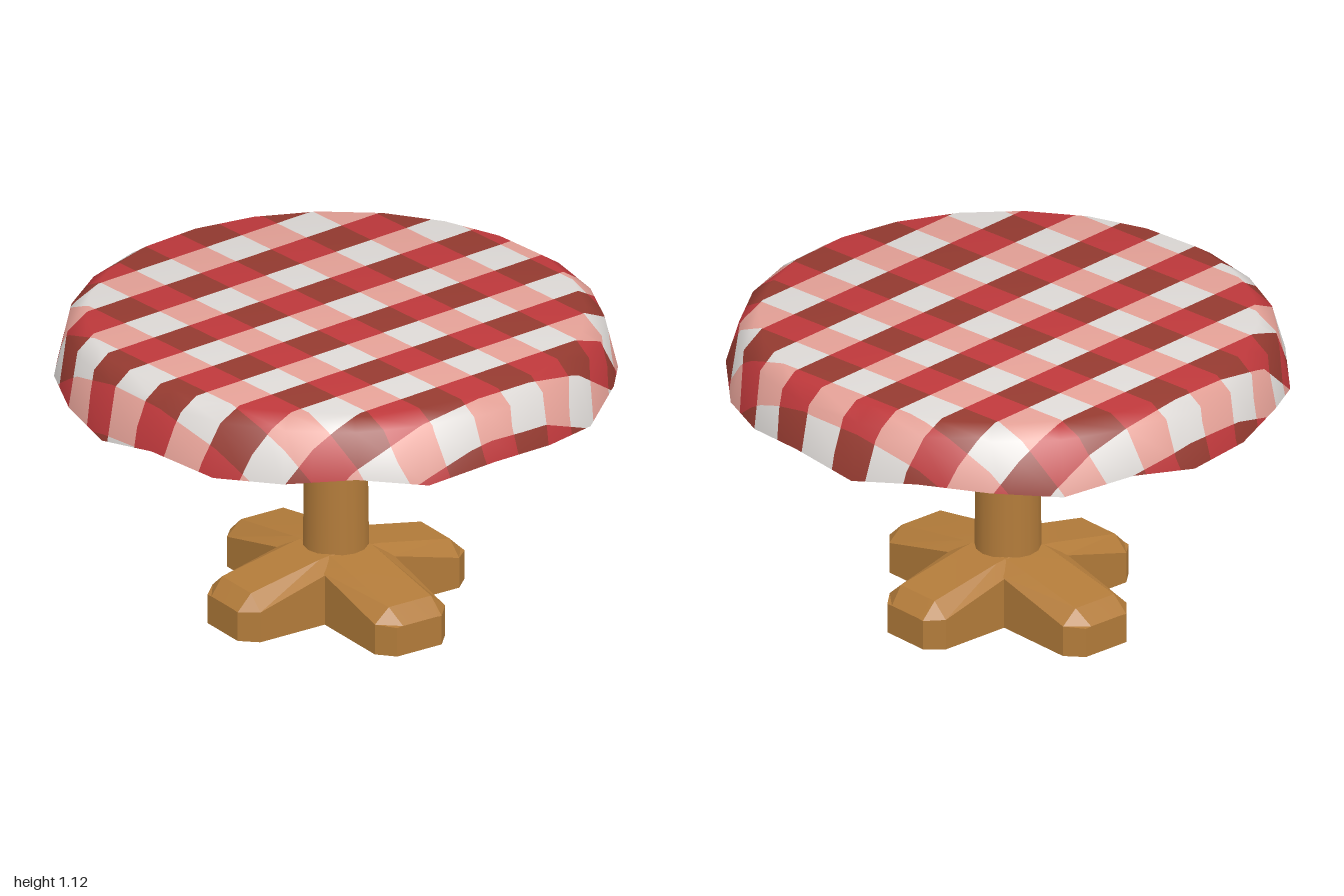
import * as THREE from 'three';
import { toCreasedNormals } from 'three/addons/utils/BufferGeometryUtils.js';

const YAW = 0.065;      // the whole table is turned slightly
const SIDES = 24;
const STRIPE = 0.1625;  // width of one gingham stripe
const TILT = 0.034;     // slant of the weave

function mat(name, color, side = THREE.FrontSide) {
  const m = new THREE.MeshStandardMaterial({ color, side });
  m.name = name;
  return m;
}

function mesh(name, geometry, material) {
  const m = new THREE.Mesh(geometry, material);
  m.name = name;
  return m;
}

function fromTriangles(pos, normals) {
  const g = new THREE.BufferGeometry();
  g.setAttribute('position', new THREE.Float32BufferAttribute(pos, 3));
  if (normals) g.setAttribute('normal', new THREE.Float32BufferAttribute(normals, 3));
  else g.computeVertexNormals();
  return g;
}

// Cloth vertices are arrays [u, v, x, y, z, nx, ny, nz], u and v counted in stripes
function clothVertex(angle, r, y, flatR, slope) {
  const c = Math.cos(angle), s = Math.sin(angle);
  const fx = flatR * c, fz = flatR * s;
  return [
    (fx - TILT * fz + 0.245) / STRIPE, (fz + TILT * fx + 0.015) / STRIPE,
    r * c, y, r * s,
    Math.sin(slope) * c, Math.cos(slope), Math.sin(slope) * s,
  ];
}

// Keep the part of a polygon where sign * (p[axis] - limit) >= 0
function clip(poly, axis, limit, sign) {
  const out = [];
  poly.forEach((a, i) => {
    const b = poly[(i + 1) % poly.length];
    const da = sign * (a[axis] - limit), db = sign * (b[axis] - limit);
    if (da >= 0) out.push(a);
    if ((da > 0 && db < 0) || (da < 0 && db > 0)) {
      const t = da / (da - db);
      out.push(a.map((q, k) => q + (b[k] - q) * t));
    }
  });
  return out;
}

// Cut a polygon into stripes along one axis
function slice(poly, axis, visit) {
  const vals = poly.map((p) => p[axis]);
  for (let m = Math.floor(Math.min(...vals)); m < Math.max(...vals); m++) {
    const piece = clip(clip(poly, axis, m, 1), axis, m + 1, -1);
    if (piece.length > 2) visit(piece, m);
  }
}

function makeCloth(materials) {
  const group = new THREE.Group();
  group.name = 'tablecloth';

  // Rings: flat top, rounded edge, wavy hem
  const ring = (k, i) => {
    const a = YAW + (i / SIDES) * Math.PI * 2;
    if (k === 0) return clothVertex(a, 0, 1.115, 0, 0);
    if (k === 1) return clothVertex(a, 0.885, 1.115, 0.885, 0.2);
    if (k === 2) return clothVertex(a, 0.952, 1.07, 0.965, 0.95);
    const wave = Math.cos(9 * (a - 0.31));
    return clothVertex(a, 1.0, 0.888 - 0.025 * wave, 1.14 + 0.01 * wave, 1.3);
  };

  const buckets = materials.map(() => ({ pos: [], nor: [] }));
  const addTriangle = (tri) => slice(tri, 0, (strip, i) => slice(strip, 1, (cell, j) => {
    const b = buckets[(i & 1) * 2 + (j & 1)];
    for (let n = 1; n < cell.length - 1; n++) {
      for (const p of [cell[0], cell[n], cell[n + 1]]) {
        b.pos.push(p[2], p[3], p[4]);
        b.nor.push(p[5], p[6], p[7]);
      }
    }
  }));

  for (let i = 0; i < SIDES; i++) {
    addTriangle([ring(0, i), ring(1, i + 1), ring(1, i)]);
    for (let k = 1; k < 3; k++) {
      addTriangle([ring(k, i), ring(k, i + 1), ring(k + 1, i)]);
      addTriangle([ring(k, i + 1), ring(k + 1, i + 1), ring(k + 1, i)]);
    }
  }
  const names = ['crossingChecks', 'columnChecks', 'rowChecks', 'plainChecks'];
  buckets.forEach((b, n) => group.add(mesh(names[n], fromTriangles(b.pos, b.nor), materials[n])));
  return group;
}

// One foot along +x, lofted through chamfered sections
function footGeometry(length) {
  // [x, half width, shoulder height, half width of top, top height]
  const sections = [
    [0, 0.15, 0.205, 0.09, 0.24],
    [0.13, 0.15, 0.195, 0.09, 0.225],
    [length - 0.06, 0.15, 0.115, 0.09, 0.168],
    [length, 0.095, 0.11, 0.07, 0.112],
  ].map(([x, w, ys, wt, yt]) => [
    [x, 0, -w], [x, ys, -w], [x, yt, -wt], [x, yt, wt], [x, ys, w], [x, 0, w],
  ]);
  const pos = [];
  for (let s = 0; s < sections.length - 1; s++) {
    for (let i = 0; i < 6; i++) {
      const j = (i + 1) % 6;
      const a = sections[s][i], b = sections[s][j];
      const c = sections[s + 1][i], d = sections[s + 1][j];
      pos.push(...a, ...b, ...c, ...b, ...d, ...c);
    }
  }
  const end = sections[sections.length - 1];
  for (let i = 1; i < 5; i++) pos.push(...end[0], ...end[i], ...end[i + 1]);
  return toCreasedNormals(fromTriangles(pos), 0.25);
}

export function createModel() {
  const wood = mat('wood', 0xb27b3a);
  const clothMaterials = [
    mat('red', 0xbd383b, THREE.DoubleSide),
    mat('dark red', 0x943a30, THREE.DoubleSide),
    mat('pink', 0xe3a096, THREE.DoubleSide),
    mat('off white', 0xdcd8d5, THREE.DoubleSide),
  ];

  const model = new THREE.Group();
  model.name = 'table';
  model.add(makeCloth(clothMaterials));

  const base = new THREE.Group();
  base.name = 'woodenTable';
  base.rotation.y = -YAW;
  model.add(base);

  // Round board under the cloth
  const profile = [[0, 0.905], [0.89, 0.905], [0.95, 0.96], [0.93, 1.06], [0, 1.09]]
    .map(([r, y]) => new THREE.Vector2(r, y));
  base.add(mesh('tableBoard', toCreasedNormals(new THREE.LatheGeometry(profile, SIDES), 0.5), wood));

  // Central column
  const column = new THREE.CylinderGeometry(0.11, 0.122, 0.91, 16);
  column.translate(0, 0.46, 0);
  base.add(mesh('column', column, wood));

  // Four feet in a cross
  for (let i = 0; i < 4; i++) {
    const foot = mesh('foot', footGeometry(i % 2 ? 0.485 : 0.525), wood);
    foot.rotation.y = (i * Math.PI) / 2;
    base.add(foot);
  }
  return model;
}
